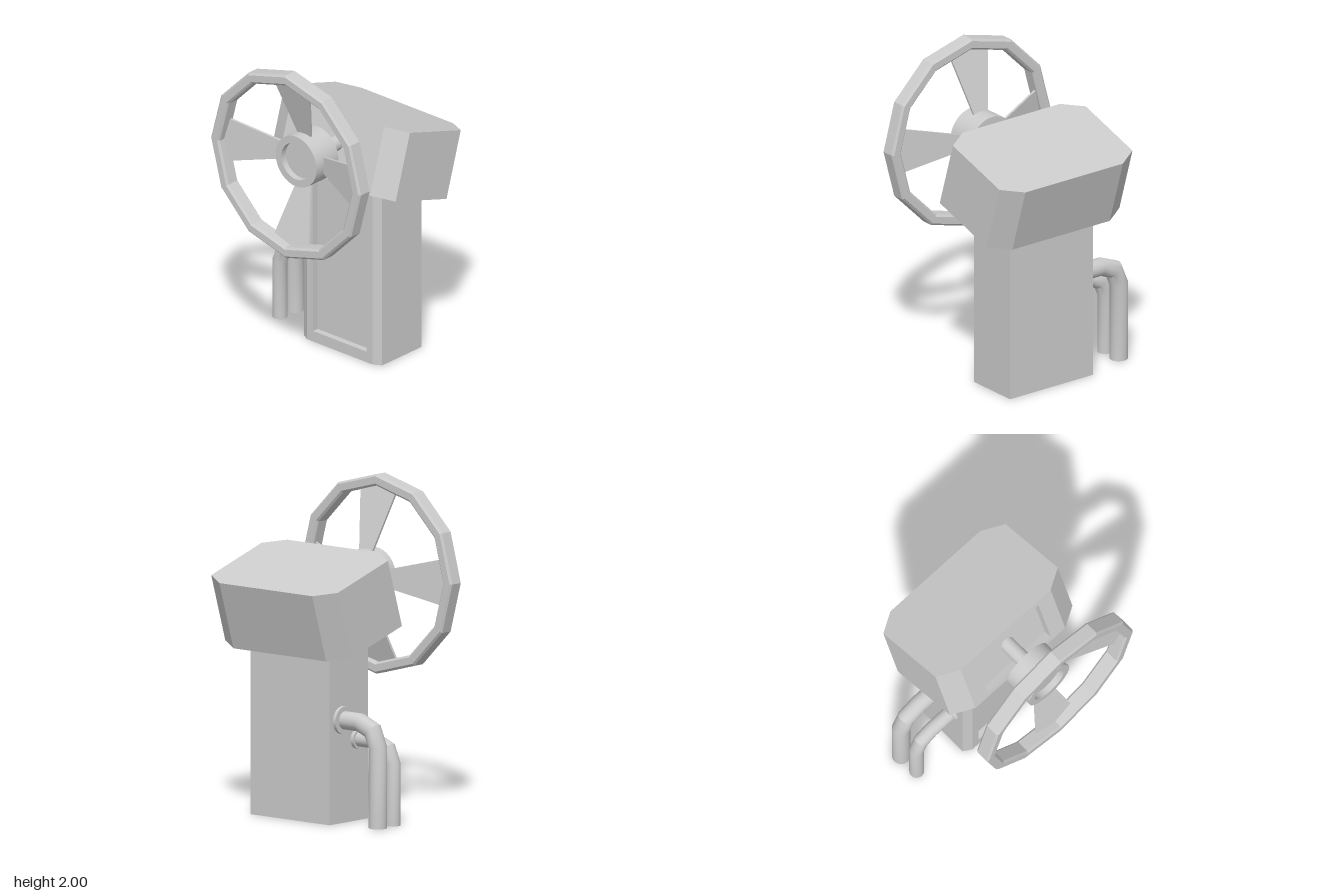
import * as THREE from 'three';
import { toCreasedNormals } from 'three/addons/utils/BufferGeometryUtils.js';

const grey = new THREE.MeshStandardMaterial({ color: 0xcccccc });
const CZ = 0.025; // wheel, shaft and head share this centre line
const WHEEL_Y = 1.395;

function part(name, geometry, parent) {
  const mesh = new THREE.Mesh(geometry, grey);
  mesh.name = name;
  parent.add(mesh);
  return mesh;
}

// Upright prism with chamfered vertical edges and a recessed panel on its -x face
function recessedPrism({ x0, x1, y0, y1, z0, z1, near, far, marginZ, marginY, depth }) {
  const pos = [];
  const tri = (...pts) => pts.forEach((p) => pos.push(...p));
  const quad = (a, b, c, d) => tri(a, b, c, a, c, d);

  const plan = [
    [x0, z0 + near[1]], [x0, z1 - near[1]], [x0 + near[0], z1], [x1 - far[0], z1],
    [x1, z1 - far[1]], [x1, z0 + far[1]], [x1 - far[0], z0], [x0 + near[0], z0],
  ].filter((p, i, all) => i === 0 || p[0] !== all[i - 1][0] || p[1] !== all[i - 1][1]);
  const at = (i, y) => { const p = plan[i % plan.length]; return [p[0], y, p[1]]; };

  // side walls and caps
  for (let i = 1; i < plan.length; i++) {
    quad(at(i, y0), at(i + 1, y0), at(i + 1, y1), at(i, y1));
    if (i < plan.length - 1) {
      tri(at(0, y1), at(i, y1), at(i + 1, y1));
      tri(at(0, y0), at(i + 1, y0), at(i, y0));
    }
  }
  // frame, recess walls and recess floor
  const loop = (x, mz, my) => {
    const za = z0 + near[1] + mz, zb = z1 - near[1] - mz;
    return [[x, y0 + my, za], [x, y0 + my, zb], [x, y1 - my, zb], [x, y1 - my, za]];
  };
  const outer = loop(x0, 0, 0);
  const inner = loop(x0, marginZ, marginY);
  const floor = loop(x0 + depth, marginZ, marginY);
  for (let i = 0; i < 4; i++) {
    const j = (i + 1) % 4;
    quad(outer[i], outer[j], inner[j], inner[i]);
    quad(inner[i], inner[j], floor[j], floor[i]);
  }
  quad(...floor);

  const geometry = new THREE.BufferGeometry();
  geometry.setAttribute('position', new THREE.Float32BufferAttribute(pos, 3));
  geometry.computeVertexNormals();
  return geometry;
}

function lathe(points, segments, crease) {
  const pts = points.map(([r, y]) => new THREE.Vector2(r, y));
  return toCreasedNormals(new THREE.LatheGeometry(pts, segments), crease);
}

// Thin flared blade, sloping from the hub out to the rim
function spokeGeometry() {
  const geometry = new THREE.BoxGeometry(1, 0.016, 1);
  const p = geometry.attributes.position;
  for (let i = 0; i < p.count; i++) {
    const r = 0.14 + 0.41 * (p.getX(i) + 0.5);
    const halfWidth = 0.055 + 0.25 * (r - 0.165);
    p.setXYZ(i, r, p.getY(i) - 0.125 + 0.318 * (r - 0.165), p.getZ(i) * 2 * halfWidth);
  }
  geometry.computeVertexNormals();
  return geometry;
}

// Cylinder whose rows follow a [z, y] path with mitred joints
function pipeGeometry(radius, path) {
  const rows = path.length - 1;
  const geometry = new THREE.CylinderGeometry(radius, radius, 1, 24, rows);
  const p = geometry.attributes.position;
  const pts = path.map(([z, y]) => new THREE.Vector2(z, y));
  const dir = (i) => pts[i + 1].clone().sub(pts[i]).normalize();
  for (let i = 0; i < p.count; i++) {
    const k = Math.round((p.getY(i) + 0.5) * rows);
    const before = dir(Math.max(k - 1, 0)), after = dir(Math.min(k, rows - 1));
    const tangent = before.clone().add(after).normalize();
    const s = p.getZ(i) / tangent.dot(after);
    // the sideways axis is chosen so that the faces keep pointing outwards
    p.setXYZ(i, p.getX(i), pts[k].y + tangent.x * s * -1, pts[k].x + tangent.y * s);
  }
  return toCreasedNormals(geometry, 0.6);
}

function addPipe(parent, x, y, radius, flangeRadius, bend) {
  const pipe = new THREE.Group();
  pipe.name = 'pipe';
  pipe.position.x = x;
  const zEnd = -0.575, k = bend * Math.SQRT1_2;
  part('bentTube', pipeGeometry(radius, [
    [-0.27, y],
    [zEnd + bend, y],
    [zEnd + bend - k, y - bend + k],
    [zEnd, y - bend],
    [zEnd, 0],
  ]), pipe);
  const flange = part('flange', new THREE.CylinderGeometry(flangeRadius, flangeRadius, 0.03, 24), pipe);
  flange.rotation.x = Math.PI / 2;
  flange.position.set(0, y, -0.297);
  parent.add(pipe);
}

export function createModel() {
  const model = new THREE.Group();
  model.name = 'valveWheelStand';

  // Pedestal, its top hidden inside the head
  part('pedestal', recessedPrism({
    x0: -0.06, x1: 0.32, y0: 0, y1: 1.18, z0: -0.29, z1: 0.34,
    near: [0.03, 0.05], far: [0, 0], marginZ: 0.05, marginY: 0.07, depth: 0.04,
  }), model);

  // Tilted head
  const head = part('head', recessedPrism({
    x0: -0.32, x1: 0.32, y0: -0.215, y1: 0.215, z0: -0.505, z1: 0.505,
    near: [0.083, 0.135], far: [0.083, 0.135], marginZ: 0.11, marginY: 0.035, depth: 0.052,
  }), model);
  head.position.set(0.17, 1.31, CZ);
  head.rotation.z = -0.3;

  // Handwheel, built around y and turned to face -x
  const wheel = new THREE.Group();
  wheel.name = 'handwheel';
  wheel.position.set(-0.5, WHEEL_Y, CZ);
  wheel.rotation.z = Math.PI / 2;
  model.add(wheel);
  part('rim', lathe([
    [0.592, -0.05], [0.605, -0.038], [0.605, 0.038], [0.592, 0.05],
    [0.548, 0.05], [0.535, 0.038], [0.535, -0.038], [0.548, -0.05], [0.592, -0.05],
  ], 12, 0.2), wheel);
  part('hub', lathe([
    [0, -0.245], [0.165, -0.245], [0.165, -0.05], [0.118, -0.05], [0.118, -0.09], [0, -0.09],
  ], 32, 0.6), wheel);
  const spoke = spokeGeometry();
  for (let i = 0; i < 4; i++) part('spoke', spoke, wheel).rotation.y = (i * Math.PI) / 2;
  const shaft = part('shaft', new THREE.CylinderGeometry(0.048, 0.048, 0.24, 24), wheel);
  shaft.position.y = -0.345;

  // Two pipes bending down behind the pedestal
  addPipe(model, 0.07, 0.495, 0.045, 0.06, 0.12);
  addPipe(model, 0.205, 0.625, 0.055, 0.085, 0.14);

  return model;
}
